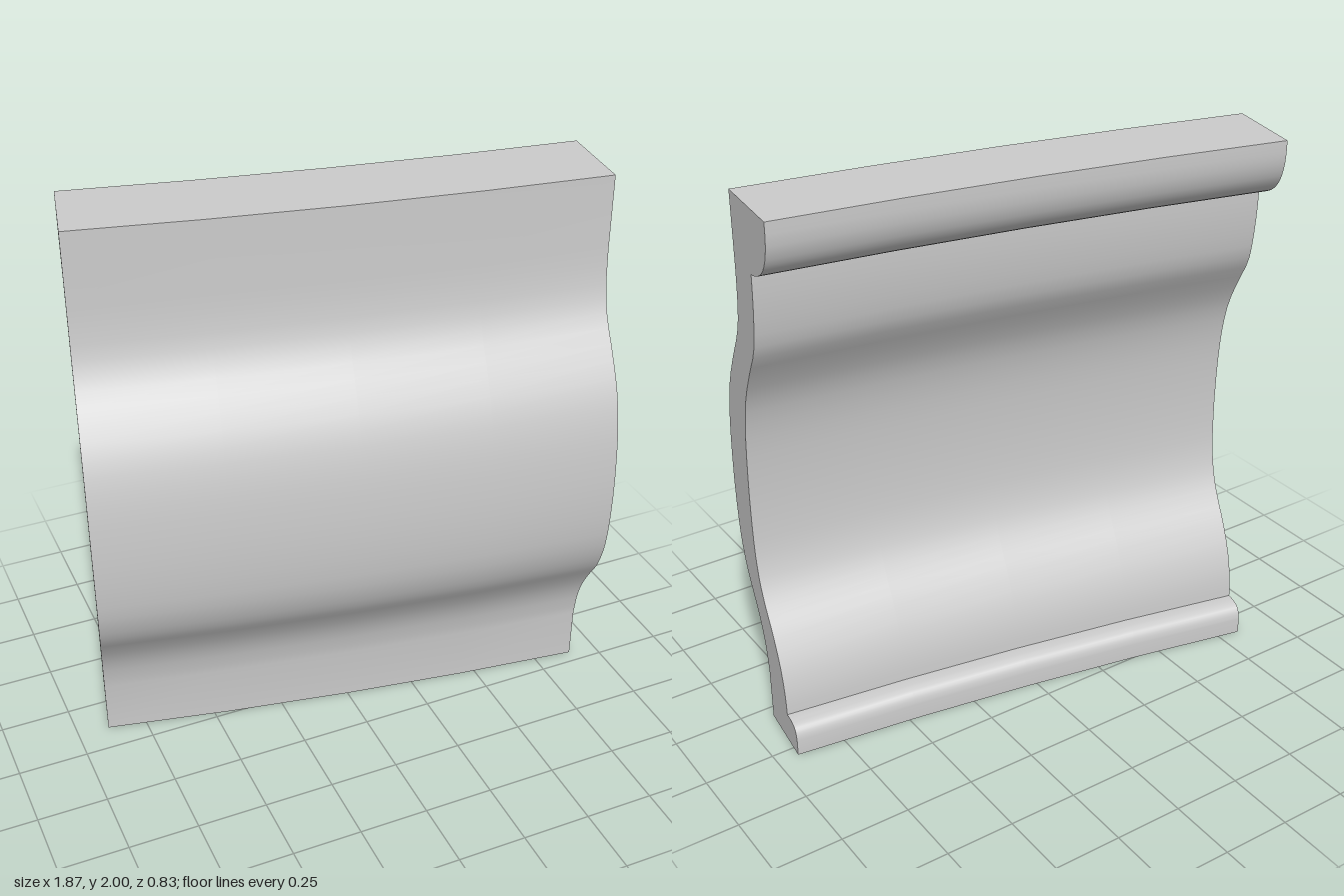
import * as THREE from 'three';
import { toCreasedNormals } from 'three/addons/utils/BufferGeometryUtils.js';

const RADIUS = 16.4; // sweep radius at the foremost bulge
const CENTRE = { x: 2.7375, z: -15.883 };
const START = THREE.MathUtils.degToRad(6.54);
const END = THREE.MathUtils.degToRad(12.94);

// Profile points are [z at the right end, y]; stored as offset from the bulge
const pt = ([z, y]) => new THREE.Vector2((z - 0.41) / Math.cos(START), y);

function mouldingProfile() {
  const s = new THREE.Shape();
  const line = (p) => { const v = pt(p); s.lineTo(v.x, v.y); };
  const spline = (list) => s.splineThru(list.map(pt));
  const start = pt([0.2, 0]);
  s.moveTo(start.x, start.y);
  // foot and its rounded bead at the back
  line([-0.043, 0]);
  line([-0.043, 0.06]);
  spline([[-0.038, 0.085], [-0.024, 0.105], [0.005, 0.115]]);
  line([0.042, 0.115]);
  // back of the wavy panel
  spline([[0.05, 0.2], [0.078, 0.3], [0.13, 0.4], [0.175, 0.465], [0.213, 0.53], [0.238, 0.6],
    [0.255, 0.7], [0.261, 0.87], [0.253, 1.05], [0.235, 1.18], [0.203, 1.29], [0.145, 1.4],
    [0.085, 1.5], [0.062, 1.6], [0.051, 1.7], [0.048, 1.777]]);
  // quarter-round cap at the back
  spline([[0.005, 1.786], [-0.045, 1.813], [-0.082, 1.855], [-0.103, 1.91], [-0.109, 1.96]]);
  line([-0.109, 2]);
  line([0.2, 2]);
  line([0.2, 1.74]);
  // front of the wavy panel
  spline([[0.21, 1.6], [0.24, 1.5], [0.3, 1.4], [0.359, 1.29], [0.393, 1.18], [0.411, 1.05],
    [0.417, 0.87], [0.405, 0.7], [0.381, 0.6], [0.345, 0.52], [0.297, 0.45], [0.25, 0.37],
    [0.22, 0.29], [0.203, 0.2]]);
  s.closePath();
  return s;
}

export function createModel() {
  const group = new THREE.Group();
  group.name = 'curvedMoulding';
  const geo = new THREE.ExtrudeGeometry(mouldingProfile(), {
    depth: 1, steps: 4, bevelEnabled: false, curveSegments: 2,
  });

  // Bend the straight extrusion around a distant vertical axis
  const p = geo.attributes.position;
  for (let i = 0; i < p.count; i++) {
    const a = THREE.MathUtils.lerp(START, END, p.getZ(i));
    const r = RADIUS + p.getX(i);
    p.setXYZ(i, CENTRE.x - r * Math.sin(a), p.getY(i), CENTRE.z + r * Math.cos(a));
  }
  const moulding = new THREE.Mesh(
    toCreasedNormals(geo, 0.6),
    new THREE.MeshStandardMaterial({ color: 0xcccccc }),
  );
  moulding.name = 'mouldingPanel';
  group.add(moulding);
  return group;
}
